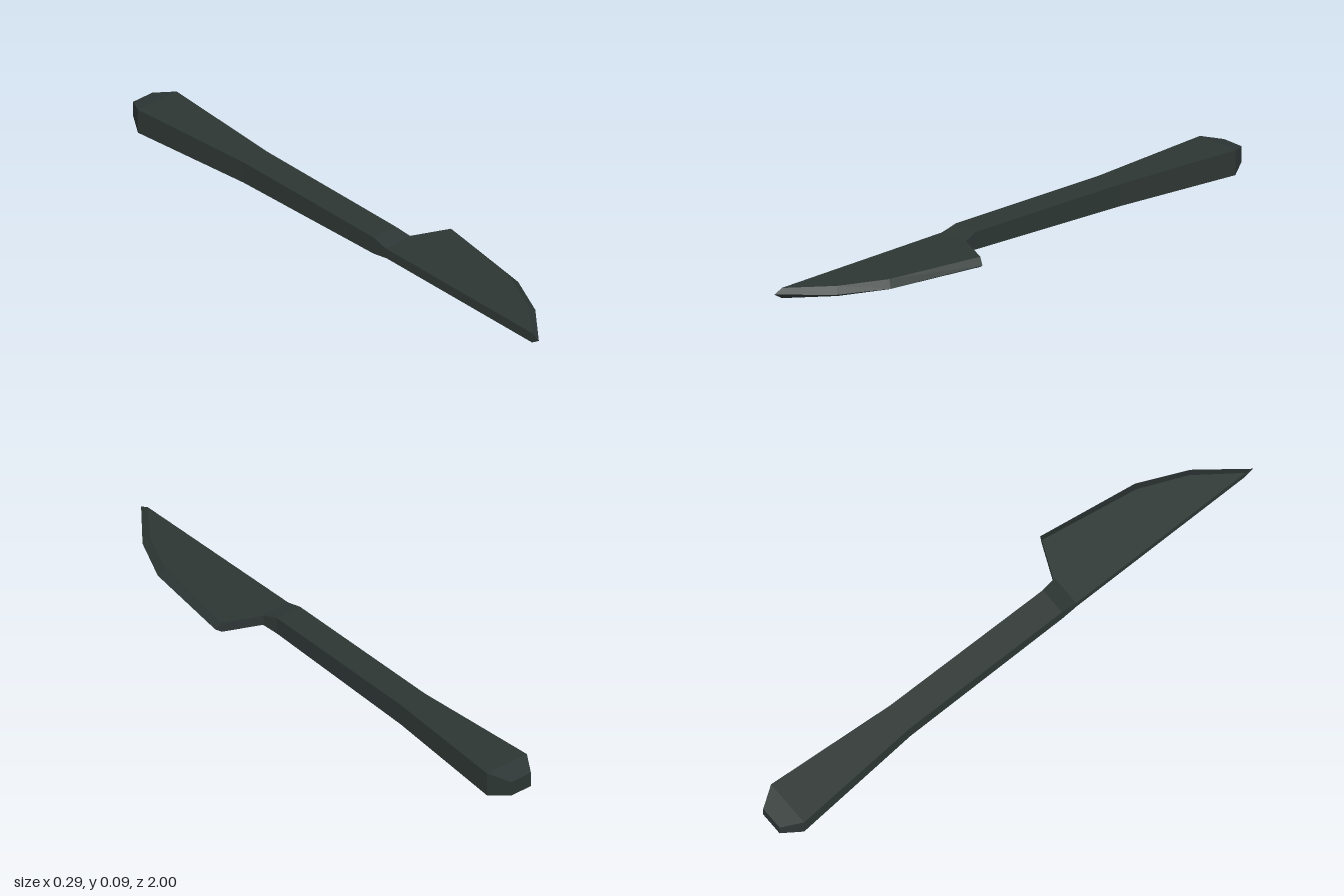
import * as THREE from 'three';

// Joins rings of [x, y, z] points (counterclockwise seen from +z) and caps both ends.
function loft(rings) {
  const n = rings[0].length;
  const pos = [];
  const tri = (a, b, c) => pos.push(...a, ...b, ...c);
  for (let i = 0; i < rings.length - 1; i++) {
    const r = rings[i], s = rings[i + 1];
    for (let j = 0; j < n; j++) {
      const k = (j + 1) % n;
      tri(r[j], r[k], s[k]);
      tri(r[j], s[k], s[j]);
    }
  }
  const first = rings[0], last = rings[rings.length - 1];
  for (let j = 0; j < n / 2 - 1; j++) {
    const a = j, b = j + 1, c = n - 2 - j, d = n - 1 - j;
    tri(first[a], first[c], first[b]);
    tri(first[a], first[d], first[c]);
    tri(last[a], last[b], last[c]);
    tri(last[a], last[c], last[d]);
  }
  const geometry = new THREE.BufferGeometry();
  geometry.setAttribute('position', new THREE.Float32BufferAttribute(pos, 3));
  geometry.computeVertexNormals();
  return geometry;
}

export function createModel() {
  const group = new THREE.Group();
  group.name = 'knife';
  const darkMetal = new THREE.MeshStandardMaterial({ color: 0x2d3634, flatShading: true });
  darkMetal.name = 'darkMetal';

  // Handle: rectangular sections, z, left x, right x, bottom y, top y
  const handleRings = [
    [-1.0, -0.105, -0.02, 0.016, 0.07],
    [-0.93, -0.147, 0.025, 0.0, 0.088],
    [-0.45, -0.113, -0.01, 0.012, 0.09],
    [0.19, -0.117, -0.017, 0.032, 0.094],
    [0.25, -0.117, -0.005, 0.042, 0.079],
  ].map(([z, l, r, b, t]) => [[l, b, z], [r, b, z], [r, t, z], [l, t, z]]);
  const handle = new THREE.Mesh(loft(handleRings), darkMetal);
  handle.name = 'handle';

  // Blade: flat slab with a bevelled cutting edge.
  // Each section: spine, middle and bevel start as [x, z], then edge as [x, y, z]
  const bottom = 0.043, top = 0.079;
  const bladeRings = [
    [[-0.117, 0.245], [-0.005, 0.245], [0.125, 0.302], [0.145, 0.056, 0.311]],
    [[-0.117, 0.64], [-0.03, 0.65], [0.066, 0.655], [0.09, 0.056, 0.67]],
    [[-0.117, 0.8], [-0.06, 0.81], [-0.006, 0.82], [0.012, 0.058, 0.84]],
    [[-0.117, 0.967], [-0.1165, 0.967], [-0.116, 0.967], [-0.117, 0.064, 1.0]],
  ].map(([spine, mid, bevel, edge]) => {
    const at = (p, y) => [p[0], y, p[1]];
    return [
      at(spine, bottom), at(mid, bottom), at(bevel, bottom), edge,
      at(bevel, top), at(mid, top), at(spine, top),
    ];
  });
  const blade = new THREE.Mesh(loft(bladeRings), darkMetal);
  blade.name = 'blade';

  group.add(handle, blade);
  return group;
}
